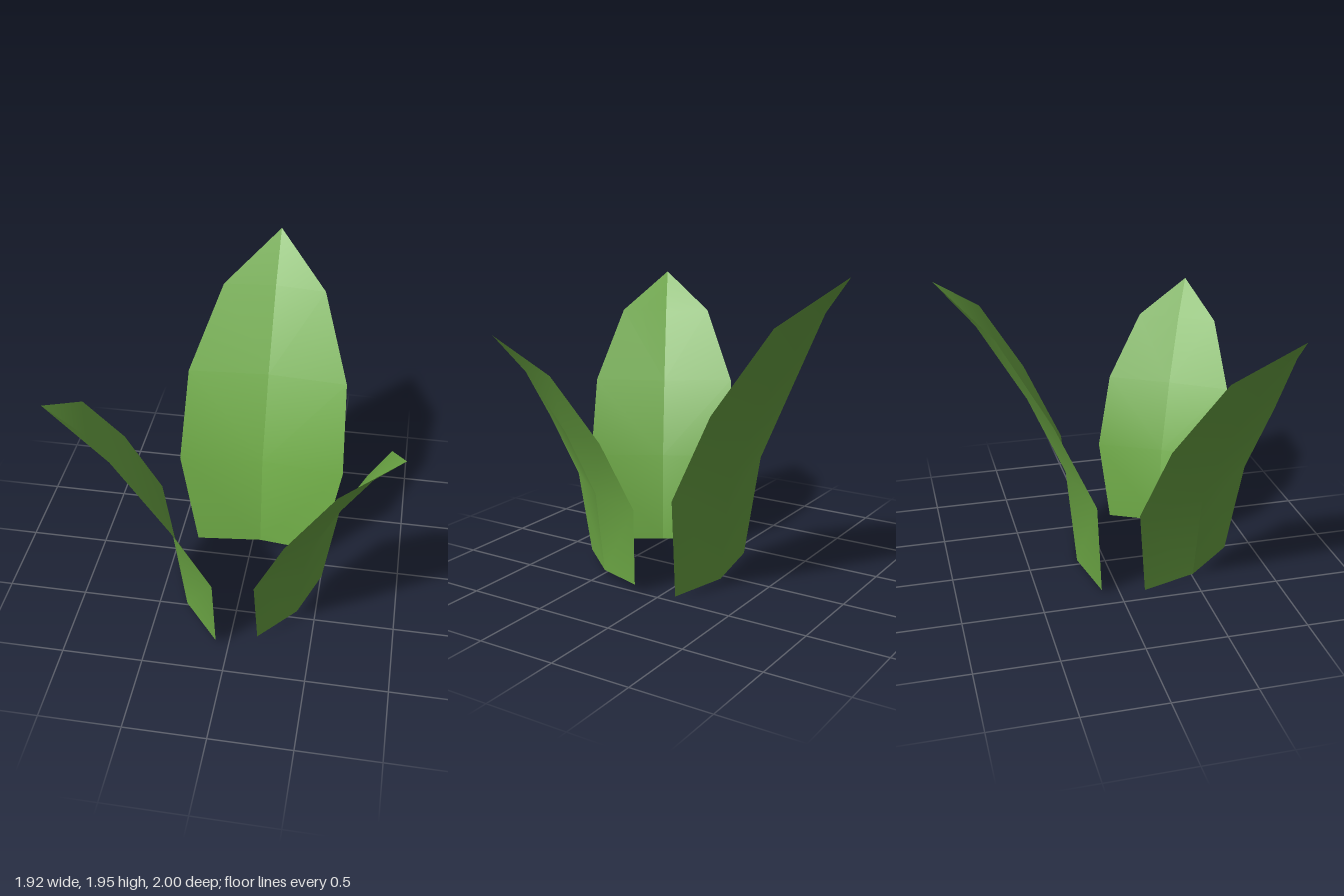
import * as THREE from 'three';

// Cross-sections of one blade from base up: half width, rim y, rim z, midrib y, midrib z
const SECTIONS = [
  [0.42, 0.023, 0, 0.003, -0.067],
  [0.535, 0.667, -0.055, 0.65, -0.13],
  [0.51, 1.2, -0.3, 1.18, -0.365],
  [0.325, 1.69, -0.59, 1.67, -0.655],
];
const TIP = [0, 1.955, -0.89];

// One half of a blade; halves stay separate so the midrib is a sharp fold
function halfBlade(side) {
  const points = [];
  const index = [];
  const face = (a, b, c) => index.push(...(side > 0 ? [a, b, c] : [a, c, b]));
  for (const [w, rimY, rimZ, midY, midZ] of SECTIONS) {
    points.push(0, midY, midZ, side * w, rimY, rimZ);
  }
  points.push(...TIP);
  const last = SECTIONS.length - 1;
  for (let i = 0; i < last; i++) {
    const m = i * 2;
    face(m, m + 1, m + 3);
    face(m, m + 3, m + 2);
  }
  face(last * 2, last * 2 + 1, last * 2 + 2);

  const geometry = new THREE.BufferGeometry();
  geometry.setAttribute('position', new THREE.Float32BufferAttribute(points, 3));
  geometry.setIndex(index);
  geometry.computeVertexNormals();
  return geometry;
}

export function createModel() {
  const green = new THREE.MeshStandardMaterial({ color: 0x70ad47, side: THREE.DoubleSide });
  green.name = 'leafGreen';

  const halves = [['leftHalf', halfBlade(1)], ['rightHalf', halfBlade(-1)]];
  const model = new THREE.Group();
  model.name = 'leafTuft';

  // Three blades fanned 120 degrees apart, each a little smaller
  const addLeaf = (name, position, turn, scale) => {
    const leaf = new THREE.Group();
    leaf.name = name;
    for (const [halfName, geometry] of halves) {
      const mesh = new THREE.Mesh(geometry, green);
      mesh.name = halfName;
      leaf.add(mesh);
    }
    leaf.position.set(...position);
    leaf.rotation.y = turn;
    leaf.scale.setScalar(scale);
    model.add(leaf);
  };
  const third = (Math.PI * 2) / 3;
  addLeaf('backLeaf', [0.05, 0, -0.11], 0, 1);
  addLeaf('rightLeaf', [-0.268, 0.019, 0.472], third, 0.9);
  addLeaf('leftLeaf', [0.34, 0.036, 0.45], -third, 0.8);
  return model;
}
